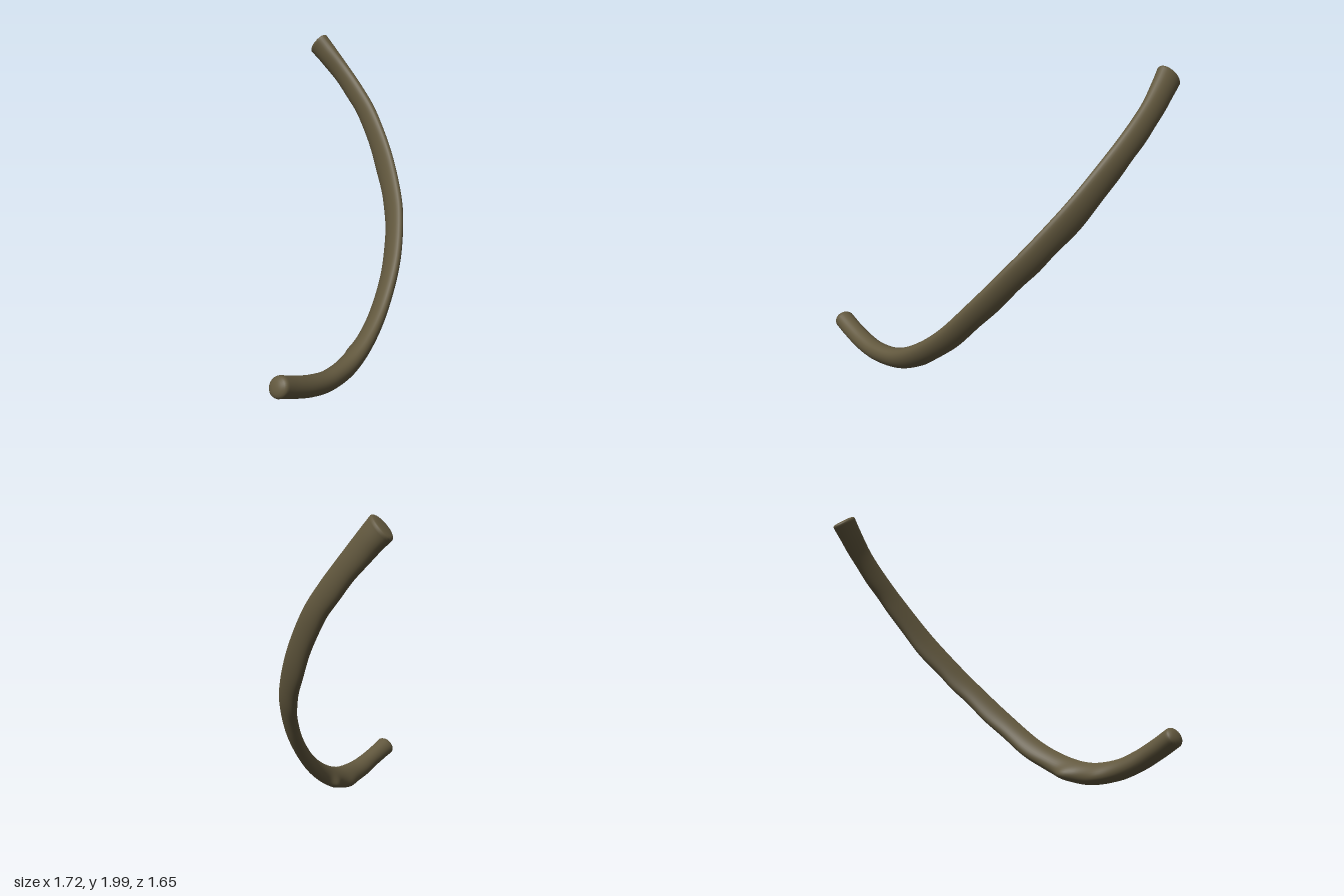
import * as THREE from 'three';

// Stations along the bone: centre x, y, z, then half thickness and half width
const STATIONS = [
  [-0.82, 0.195, 0.757, 0.064, 0.073],
  [-0.70, 0.150, 0.745, 0.064, 0.068],
  [-0.56, 0.105, 0.725, 0.064, 0.071],
  [-0.40, 0.076, 0.693, 0.063, 0.080],
  [-0.20, 0.090, 0.640, 0.062, 0.088],
  [0.00, 0.180, 0.585, 0.054, 0.088],
  [0.20, 0.332, 0.508, 0.047, 0.087],
  [0.40, 0.555, 0.400, 0.044, 0.090],
  [0.56, 0.780, 0.260, 0.042, 0.092],
  [0.655, 0.950, 0.130, 0.041, 0.094],
  [0.745, 1.170, -0.055, 0.040, 0.095],
  [0.800, 1.410, -0.255, 0.043, 0.086],
  [0.810, 1.570, -0.410, 0.045, 0.083],
  [0.797, 1.720, -0.560, 0.047, 0.082],
  [0.765, 1.850, -0.685, 0.057, 0.088],
  [0.742, 1.925, -0.757, 0.061, 0.094],
];
const PLANE_NORMAL = new THREE.Vector3(-0.04, 0.64, 0.77).normalize();
const SIDES = 32;
const STEPS = 150;

const bell = (x, centre, spread) => Math.exp(-(((x - centre) / spread) ** 2));

function ribGeometry() {
  const path = new THREE.CatmullRomCurve3(STATIONS.map(s => new THREE.Vector3(s[0], s[1], s[2])), false, 'catmullrom');
  const size = new THREE.CatmullRomCurve3(STATIONS.map(s => new THREE.Vector3(s[3], s[4], 0)), false, 'catmullrom');

  // Ring list: [position on path, push along the path, scale]; both ends close in rounded caps
  const rings = [[0, -0.034, 0], [0, -0.033, 0.3], [0, -0.029, 0.6], [0, -0.02, 0.83], [0, -0.01, 0.95]];
  for (let i = 0; i <= STEPS; i++) rings.push([i / STEPS, 0, 1]);
  rings.push([1, 0.008, 0.94], [1, 0.013, 0.82], [1, 0.016, 0.5], [1, 0.017, 0]);

  const positions = [];
  const indices = [];
  rings.forEach(([t, push, scale], i) => {
    const centre = path.getPoint(t);
    const along = path.getTangent(t);
    const { x: thick, y: wide } = size.getPoint(t);
    const W = PLANE_NORMAL.clone().addScaledVector(along, -PLANE_NORMAL.dot(along)).normalize();
    const U = new THREE.Vector3().crossVectors(W, along);
    centre.addScaledVector(along, push);

    for (let j = 0; j <= SIDES; j++) {
      const a = (j / SIDES) * Math.PI * 2;
      const p = centre.clone()
        .addScaledVector(U, Math.cos(a) * thick * scale)
        .addScaledVector(W, Math.sin(a) * wide * scale);
      // Small knobs and faint unevenness along the rear edge
      const rear = Math.max(0, -Math.sin(a)) ** 2 * scale;
      p.z -= rear * (0.034 * bell(centre.x, -0.085, 0.05) + 0.012 * bell(centre.x, -0.28, 0.06));
      p.addScaledVector(W, rear * 0.004 * Math.sin(t * 75) * Math.sin(t * Math.PI));
      positions.push(p.x, p.y, p.z);
      if (i < rings.length - 1 && j < SIDES) {
        const k = i * (SIDES + 1) + j;
        const n = k + SIDES + 1;
        indices.push(k, k + 1, n, k + 1, n + 1, n);
      }
    }
  });

  const geometry = new THREE.BufferGeometry();
  geometry.setAttribute('position', new THREE.Float32BufferAttribute(positions, 3));
  geometry.setIndex(indices);
  geometry.computeVertexNormals();

  // Share normals across the seam and at the two cap poles
  const normals = geometry.attributes.normal;
  rings.forEach(([t, , scale], i) => {
    const first = i * (SIDES + 1);
    const last = first + SIDES;
    const n = new THREE.Vector3().fromBufferAttribute(normals, first)
      .add(new THREE.Vector3().fromBufferAttribute(normals, last)).normalize();
    normals.setXYZ(first, n.x, n.y, n.z);
    normals.setXYZ(last, n.x, n.y, n.z);
    if (scale === 0) {
      const pole = path.getTangent(t).multiplyScalar(t === 0 ? -1 : 1);
      for (let k = first; k <= last; k++) normals.setXYZ(k, pole.x, pole.y, pole.z);
    }
  });
  return geometry;
}

export function createModel() {
  const group = new THREE.Group();
  group.name = 'rib';
  const bone = new THREE.Mesh(ribGeometry(), new THREE.MeshStandardMaterial({ color: 0x62583e }));
  bone.name = 'ribBone';
  group.add(bone);
  return group;
}
